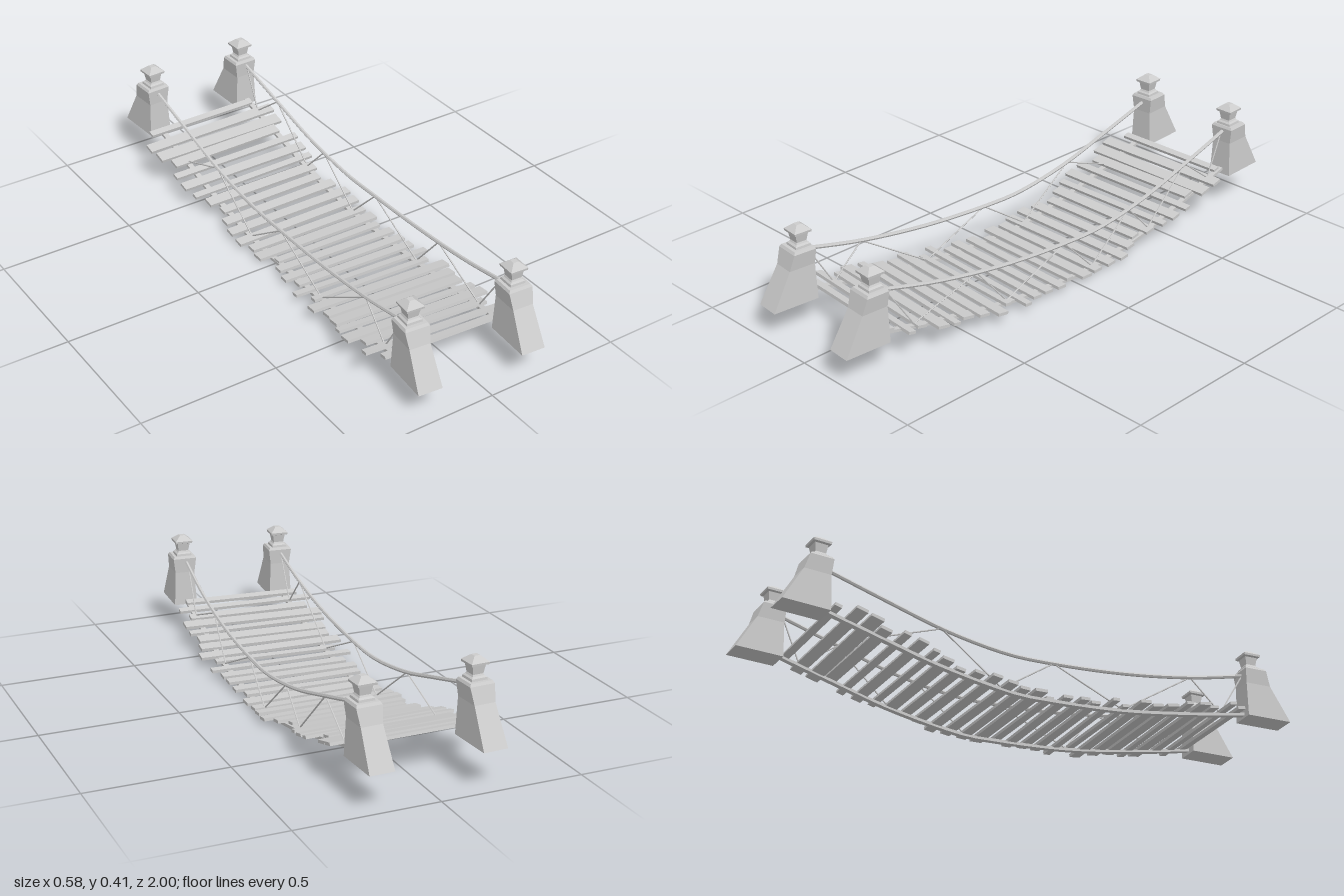
import * as THREE from 'three';

const grey = new THREE.MeshStandardMaterial({ color: 0xcccccc, flatShading: true });

// Sagging paths: [z, y] heights shared by both sides, [z, x] bends per side
const ropeHeights = [[0.83, 0.268], [0.58, 0.212], [0.3, 0.172], [0, 0.152], [-0.15, 0.151], [-0.38, 0.182], [-0.6, 0.238], [-0.85, 0.306]];
const beamHeights = [[0.82, 0.11], [0.6, 0.07], [0.3, 0.026], [0, 0.007], [-0.15, 0.008], [-0.4, 0.044], [-0.6, 0.091], [-0.85, 0.153]];
const leftBend = [[0.83, 0.172], [0.4, 0.208], [0, 0.225], [-0.4, 0.222], [-0.85, 0.212]];
const rightBend = [[0.83, -0.216], [0.4, -0.192], [0, -0.176], [-0.4, -0.176], [-0.85, -0.18]];

// Smooth lookup of a value at z
function curveOf(table) {
  const curve = new THREE.SplineCurve(table.map(([z, v]) => new THREE.Vector2(z, v)));
  return (z) => {
    let lo = 0, hi = 1;
    for (let i = 0; i < 24; i++) {
      const mid = (lo + hi) / 2;
      if (curve.getPoint(mid).x > z) lo = mid; else hi = mid;
    }
    return curve.getPoint(lo).y;
  };
}
const ropeY = curveOf(ropeHeights);
const beamY = curveOf(beamHeights);
const sideX = { left: curveOf(leftBend), right: curveOf(rightBend) };
const slope = (f, z) => (f(z + 0.02) - f(z - 0.02)) / 0.04;

function addMesh(parent, name, geometry) {
  const mesh = new THREE.Mesh(geometry, grey);
  mesh.name = name;
  parent.add(mesh);
  return mesh;
}

// Stone post: waisted body with a sloping outer face, and a square finial
function makePost(name, x, y, z, yaw) {
  const post = new THREE.Group();
  post.name = name;
  // [height, half width, inner face, outer face]
  const levels = [[0, 0.044, 0, 0.172], [0.13, 0.038, 0.002, 0.1], [0.186, 0.045, -0.002, 0.083], [0.195, 0.04, 0.003, 0.077]];
  const body = new THREE.BoxGeometry(2, 3, 1, 1, 3, 1);
  const p = body.attributes.position;
  for (let i = 0; i < p.count; i++) {
    const [h, w, inner, outer] = levels[Math.round(p.getY(i) + 1.5)];
    p.setXYZ(i, p.getX(i) * w, h, p.getZ(i) < 0 ? inner : outer);
  }
  body.computeVertexNormals();
  addMesh(post, 'postBody', body);

  const profile = [[0.03, 0.19], [0.028, 0.203], [0.022, 0.208], [0.019, 0.214], [0.024, 0.243],
    [0.032, 0.246], [0.033, 0.254], [0.01, 0.273], [0, 0.273]];
  const finial = new THREE.LatheGeometry(profile.map(([r, h]) => new THREE.Vector2(r * Math.SQRT2, h)), 4);
  finial.rotateY(Math.PI / 4);
  addMesh(post, 'postFinial', finial).position.z = 0.036;

  post.position.set(x, y, z);
  post.rotation.y = yaw;
  return post;
}

// Hand rope, floor beam and zigzag cords of one side
function makeSide(side, knots) {
  const group = new THREE.Group();
  group.name = side + 'Railing';
  const x = sideX[side];

  const ropePoints = ropeHeights.map(([z]) => new THREE.Vector3(x(z), ropeY(z), z));
  addMesh(group, side + 'HandRope',
    new THREE.TubeGeometry(new THREE.CatmullRomCurve3(ropePoints), 32, 0.007, 6));

  const beam = new THREE.BoxGeometry(0.02, 0.011, 1.65, 1, 1, 28);
  beam.translate(0, 0, -0.01);
  const p = beam.attributes.position;
  for (let i = 0; i < p.count; i++) {
    const z = p.getZ(i);
    p.setXYZ(i, p.getX(i) + x(z), p.getY(i) + beamY(z), z);
  }
  beam.computeVertexNormals();
  addMesh(group, side + 'FloorBeam', beam);

  // Knots alternate between the hand rope and the floor beam
  const points = knots.map((z, i) => new THREE.Vector3(x(z), i % 2 ? beamY(z) + 0.008 : ropeY(z), z));
  for (let i = 1; i < points.length; i++) {
    addMesh(group, side + 'Cord',
      new THREE.TubeGeometry(new THREE.LineCurve3(points[i - 1], points[i]), 1, 0.0028, 5));
  }
  return group;
}

// Uneven planks: [z, right end, left end, depth] in hundredths
const planks = [
  [-80, -23.5, 21.4, 2.6], [-73.5, -28, 27, 4.2], [-67.7, -27, 26.5, 4.7], [-62.8, -23.5, 22.5, 4.2],
  [-56.6, -26.5, 27.5, 2.7], [-50.8, -26.5, 27, 3.8], [-45.2, -25, 26.5, 2.5], [-39.7, -22.5, 24.5, 4.2],
  [-33.8, -20, 22.5, 3.5], [-28, -22.5, 25.5, 3.8], [-22, -24, 28, 3.7], [-16, -24, 27.5, 3.7],
  [-10.2, -22, 26.5, 3.7], [-4.3, -23, 27, 4.6], [1.6, -18.5, 24.5, 3], [7.4, -21.5, 26.5, 3.6],
  [13.5, -23, 26.5, 3.6], [19, -21, 26.5, 3.6], [24.8, -25.5, 28.3, 2.6], [30.7, -22, 24.5, 2.6],
  [36.5, -26.5, 28.3, 4.2], [42.8, -24.5, 26, 4.2], [48.6, -25.5, 24.5, 4.6], [54.5, -27.7, 25.7, 2.7],
  [60.3, -28.8, 25.7, 4.6], [66.1, -25.5, 21.4, 3.6], [72, -29.3, 23.5, 2.7], [77.5, -26, 18.8, 3],
];

function makeDeck() {
  const deck = new THREE.Group();
  deck.name = 'deck';
  const middle = (z) => (sideX.left(z) + sideX.right(z)) / 2;
  planks.forEach(([cz, x0, x1, depth], i) => {
    const z = cz / 100;
    const plank = addMesh(deck, 'plank', new THREE.BoxGeometry((x1 - x0) / 100, 0.011, depth / 100));
    plank.position.set((x0 + x1) / 200, beamY(z) + 0.01, z);
    plank.rotation.set(-Math.atan(slope(beamY, z)), Math.atan(slope(middle, z)), 0.008 * Math.sin(i * 2.4), 'YXZ');
  });
  return deck;
}

export function createModel() {
  const bridge = new THREE.Group();
  bridge.name = 'ropeBridge';
  bridge.add(
    makePost('frontRightPost', -0.21, 0.092, 0.797, -0.09),
    makePost('frontLeftPost', 0.18, 0.097, 0.82, -0.07),
    makePost('backRightPost', -0.18, 0.132, -0.82, Math.PI + 0.06),
    makePost('backLeftPost', 0.21, 0.128, -0.828, Math.PI + 0.04),
    makeSide('right', [0.8, 0.7, 0.58, 0.3, 0.03, -0.17, -0.4, -0.62]),
    makeSide('left', [0.8, 0.69, 0.43, 0.3, 0.03, -0.11, -0.3, -0.41, -0.61, -0.75, -0.82]),
    makeDeck(),
  );
  return bridge;
}
